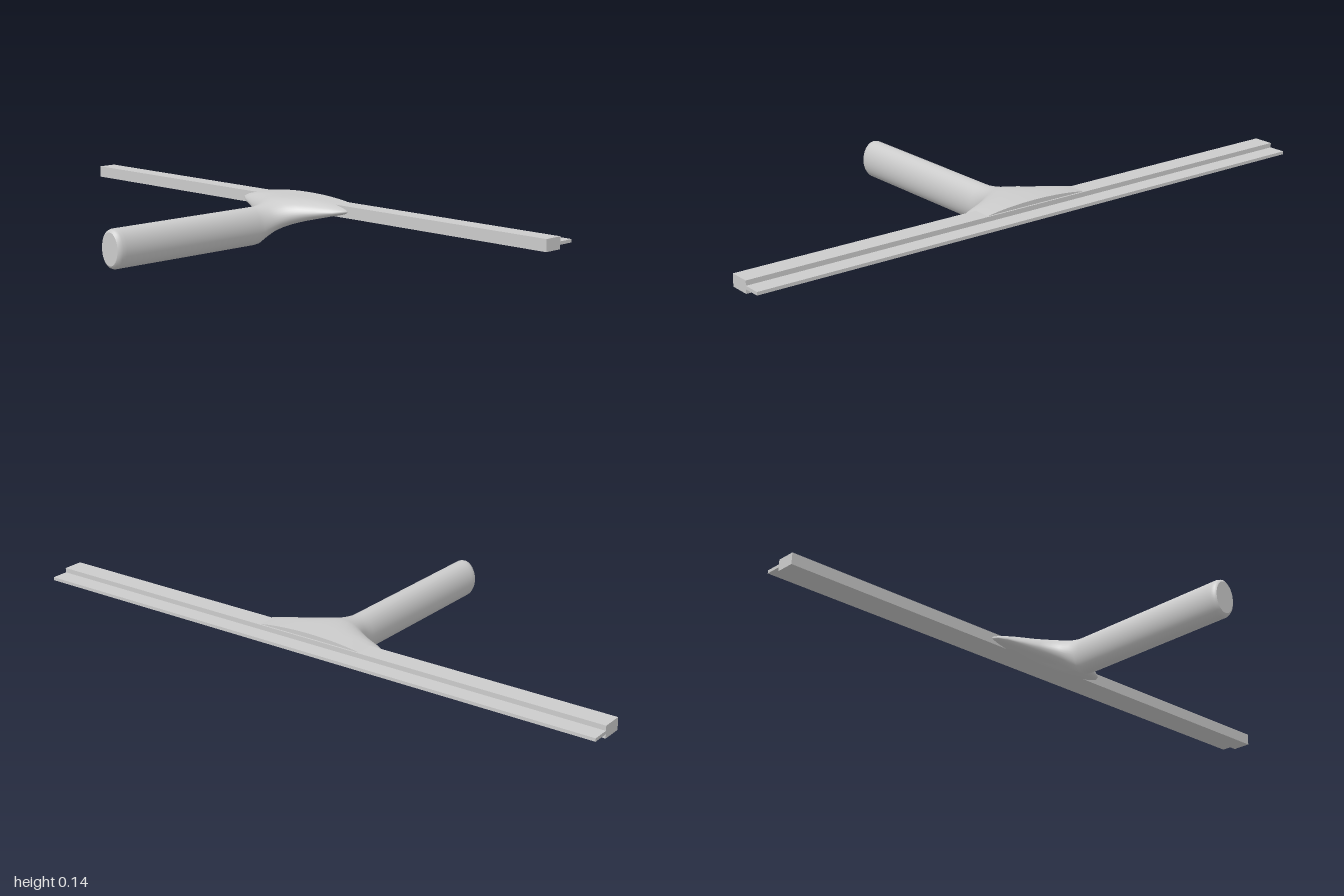
import * as THREE from 'three';

const SIDES = 40;

// Skin a row of cross-sections [z, halfWidth, bottom, top, power], listed from +z to -z.
// A power above 1 pinches the oval into a lens.
function loft(sections) {
  const pos = [], index = [];
  const ring = ([z, w, bottom, top, p]) => {
    for (let j = 0; j < SIDES; j++) {
      const a = (j / SIDES) * Math.PI * 2, s = Math.sin(a);
      const y = (top + bottom) / 2 + ((top - bottom) / 2) * Math.sign(s) * Math.abs(s) ** p;
      pos.push(w * Math.cos(a), y, z);
    }
  };
  sections.forEach(ring);
  for (let i = 0; i < sections.length - 1; i++) {
    for (let j = 0; j < SIDES; j++) {
      const k = (j + 1) % SIDES;
      const a = i * SIDES + j, b = i * SIDES + k;
      index.push(a, a + SIDES, b, b, a + SIDES, b + SIDES);
    }
  }
  // flat end caps with their own corners, so their rims stay sharp
  [sections[0], sections[sections.length - 1]].forEach((section, end) => {
    const start = pos.length / 3;
    ring(section);
    pos.push(0, (section[2] + section[3]) / 2, section[0]);
    for (let j = 0; j < SIDES; j++) {
      const a = start + j, b = start + ((j + 1) % SIDES), c = start + SIDES;
      index.push(c, ...(end ? [b, a] : [a, b]));
    }
  });
  const geometry = new THREE.BufferGeometry();
  geometry.setAttribute('position', new THREE.Float32BufferAttribute(pos, 3));
  geometry.setIndex(index);
  geometry.computeVertexNormals();
  return geometry;
}

export function createModel() {
  const group = new THREE.Group();
  const material = new THREE.MeshStandardMaterial({ color: 0xcccccc });

  const add = (name, geometry, y = 0, z = 0) => {
    const mesh = new THREE.Mesh(geometry, material);
    mesh.name = name;
    mesh.position.set(0, y, z);
    group.add(mesh);
  };

  // oval grip that rises and flares into the flat, wide head
  add('handleAndHead', loft([
    [0.45, 0.036, 0.011, 0.113, 1],
    [0.445, 0.042, 0.004, 0.12, 1],
    [0.435, 0.045, 0, 0.123, 1],
    [0.42, 0.045, 0, 0.123, 1],
    [-0.13, 0.045, 0, 0.123, 1],
    [-0.15, 0.046, 0.002, 0.123, 1],
    [-0.175, 0.051, 0.017, 0.126, 1],
    [-0.2, 0.063, 0.032, 0.13, 1.05],
    [-0.225, 0.083, 0.043, 0.137, 1.1],
    [-0.245, 0.108, 0.051, 0.141, 1.15],
    [-0.27, 0.15, 0.061, 0.143, 1.2],
    [-0.295, 0.198, 0.071, 0.144, 1.25],
    [-0.313, 0.222, 0.078, 0.144, 1.25],
    [-0.335, 0.235, 0.08, 0.144, 1.25],
    [-0.39, 0.235, 0.082, 0.144, 1.25],
  ]));

  // long bar that grips the blade
  add('channel', new THREE.BoxGeometry(2, 0.038, 0.065), 0.111, -0.3625);

  // thin wiping strip
  add('blade', new THREE.BoxGeometry(2, 0.01, 0.06), 0.11, -0.42);

  return group;
}
